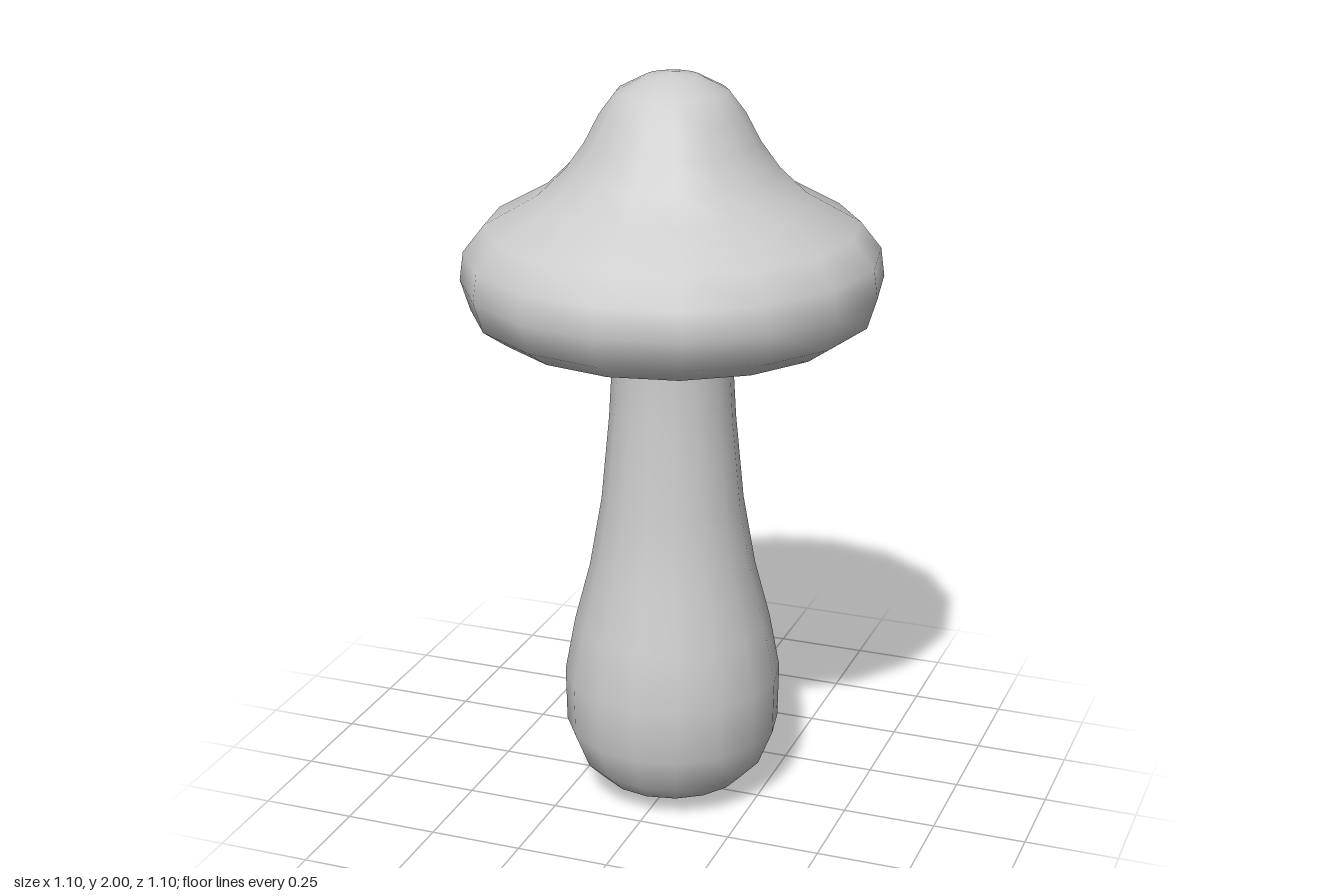
import * as THREE from 'three';

const SEGMENTS = 16;
const material = new THREE.MeshStandardMaterial({ color: 0xcccccc });

// Smooth turned part from [radius, height] pairs, listed from the bottom centre outward and up
function turned(name, profile) {
  const points = profile.map(([r, y]) => new THREE.Vector2(r, y));
  const mesh = new THREE.Mesh(new THREE.LatheGeometry(points, SEGMENTS), material);
  mesh.name = name;
  return mesh;
}

export function createModel() {
  const group = new THREE.Group();
  group.name = 'mushroom';

  // Bulbous stem, running up into the cap
  group.add(turned('stem', [
    [0, 0], [0.1, 0.02], [0.2, 0.05], [0.25, 0.1], [0.29, 0.2], [0.293, 0.35],
    [0.265, 0.5], [0.223, 0.66], [0.19, 0.85], [0.168, 1.08], [0.161, 1.2],
    [0.157, 1.34], [0.157, 1.46],
  ]));

  // Cap skin: rolled rim, flared shoulder and rounded knob
  group.add(turned('cap', [
    [0.42, 1.335], [0.46, 1.335], [0.525, 1.38], [0.55, 1.46], [0.54, 1.535],
    [0.485, 1.605], [0.345, 1.683], [0.275, 1.75], [0.225, 1.82], [0.187, 1.893],
    [0.143, 1.952], [0.07, 1.99], [0, 2],
  ]));

  // Shallow hollow under the cap, with a sharp edge at the rim
  group.add(turned('capUnderside', [
    [0, 1.445], [0.16, 1.44], [0.3, 1.405], [0.42, 1.335],
  ]));

  return group;
}
